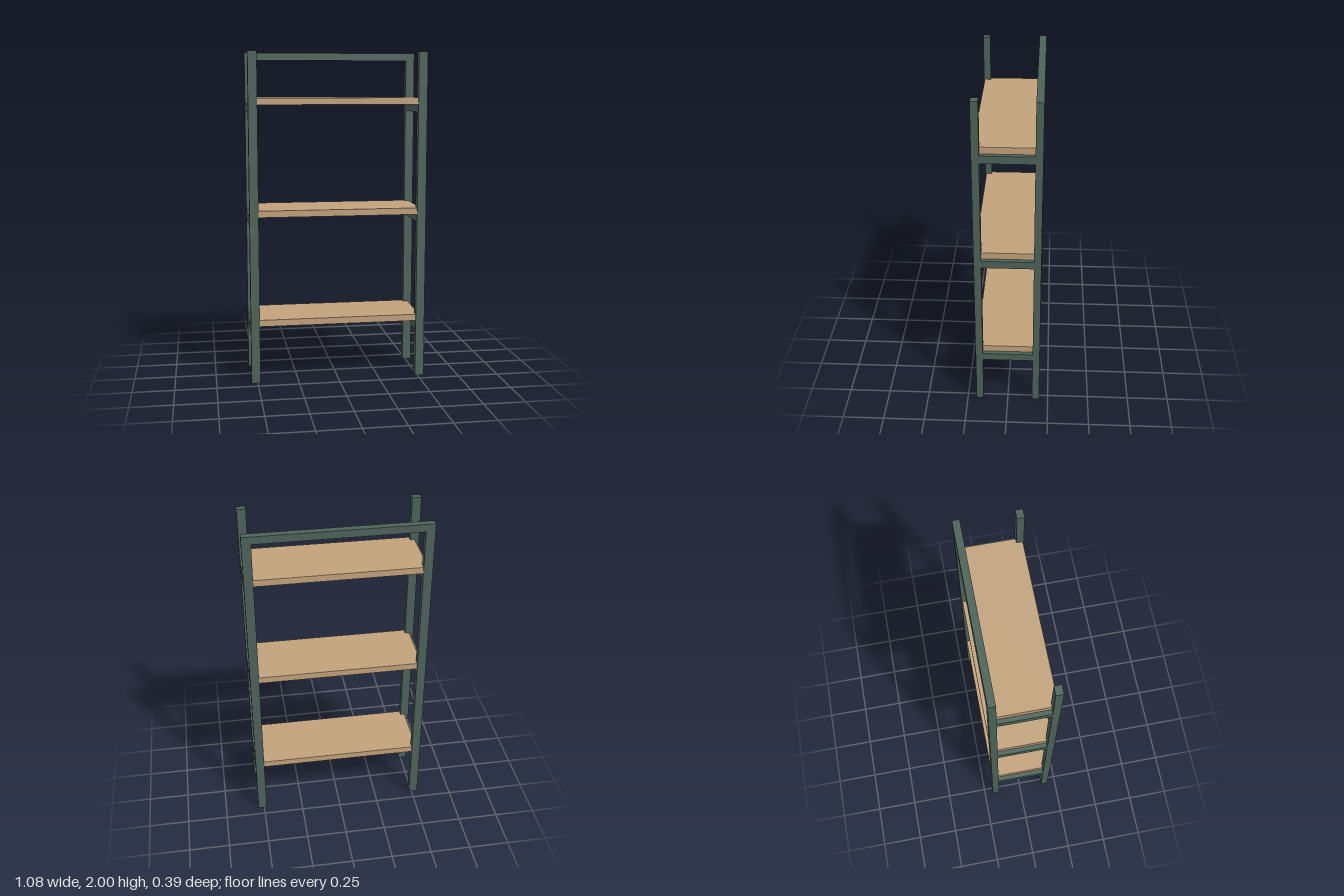
import * as THREE from 'three';

export function createModel() {
  const model = new THREE.Group();
  model.name = 'shelfUnit';

  const frameGreen = new THREE.MeshStandardMaterial({ color: 0x4d635a });
  frameGreen.name = 'frame green';
  const wood = new THREE.MeshStandardMaterial({ color: 0xc2a27c });
  wood.name = 'wood';

  const W = 0.538, D = 0.195;      // outer half width and half depth
  const postW = 0.054, postD = 0.043;
  const inX = W - postW, inZ = D - postD;

  // Box given by its minimum and maximum corners
  function box(name, material, [x0, y0, z0], [x1, y1, z1]) {
    const mesh = new THREE.Mesh(new THREE.BoxGeometry(x1 - x0, y1 - y0, z1 - z0), material);
    mesh.position.set((x0 + x1) / 2, (y0 + y1) / 2, (z0 + z1) / 2);
    mesh.name = name;
    model.add(mesh);
  }

  const shelfBottoms = [0.352, 1.02, 1.688];
  const shelfT = 0.04, railH = 0.046;

  for (const [side, x0, x1] of [['left', inX, W], ['right', -W, -inX]]) {
    // Corner posts
    box(`${side}FrontPost`, frameGreen, [x0, 0, inZ], [x1, 2, D]);
    box(`${side}BackPost`, frameGreen, [x0, 0, -D], [x1, 2, -inZ]);
    // Side rails carrying the shelves
    shelfBottoms.forEach((y, i) =>
      box(`${side}Rail${i + 1}`, frameGreen, [x0, y - railH, -inZ], [x1, y, inZ]));
  }

  // Top bar across the back
  box('topBackBar', frameGreen, [-inX, 1.954, -D], [inX, 2, -inZ]);

  // Wooden shelves let into the posts
  shelfBottoms.forEach((y, i) =>
    box(`shelf${i + 1}`, wood, [-0.511, y, -0.189], [0.511, y + shelfT, 0.189]));

  return model;
}
